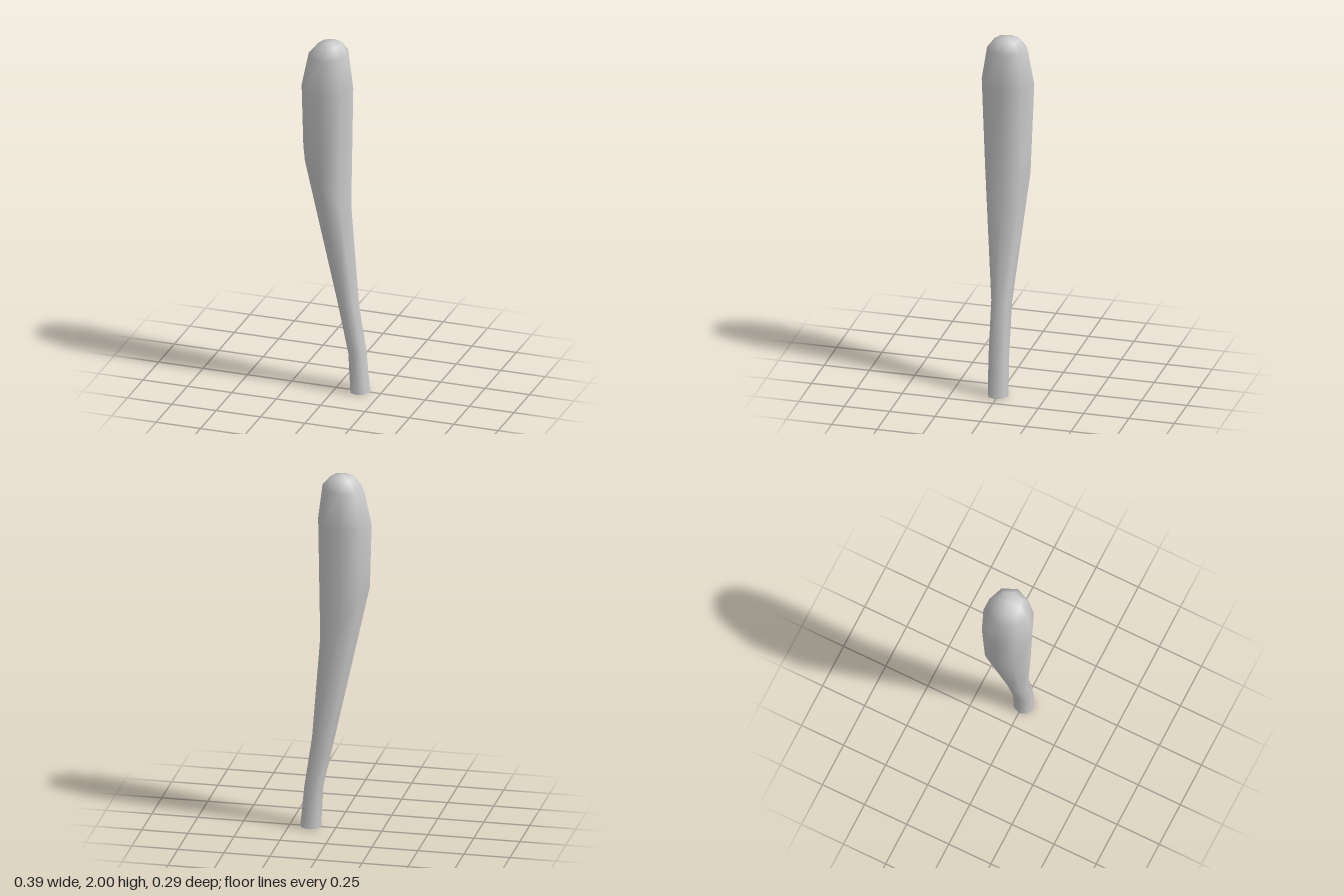
import * as THREE from 'three';

const SIDES = 8;

// Cross-sections: [left x, left y, right x, right y, half depth, centre z]
const RINGS = [
  [0.08, 0, 0.193, 0, 0.057, 0.003],
  [0.068, 0.23, 0.172, 0.22, 0.057, 0.003],
  [0.002, 0.53, 0.13, 0.5, 0.057, 0.003],
  [-0.185, 1.38, 0.085, 1.07, 0.125, 0.001],
  [-0.195, 1.73, 0.096, 1.75, 0.145, 0],
  [-0.155, 1.92, 0.072, 1.94, 0.113, 0],
  [-0.1, 1.988, 0.03, 1.99, 0.07, 0],
];

// Loft eight-sided rings, closed by a single point at the top
function loft(rings, tip) {
  const positions = [], index = [];
  for (const [lx, ly, rx, ry, depth, z] of rings) {
    for (let i = 0; i < SIDES; i++) {
      const a = (i / SIDES) * Math.PI * 2, c = Math.cos(a);
      positions.push(
        (lx + rx) / 2 + (c * (rx - lx)) / 2,
        (ly + ry) / 2 + (c * (ry - ly)) / 2,
        z + Math.sin(a) * depth
      );
    }
  }
  positions.push(...tip);
  const tipIndex = rings.length * SIDES;
  for (let r = 0; r < rings.length; r++) {
    for (let i = 0; i < SIDES; i++) {
      const a = r * SIDES + i, b = r * SIDES + ((i + 1) % SIDES);
      if (r === rings.length - 1) index.push(a, tipIndex, b);
      else index.push(a, a + SIDES, b, b, a + SIDES, b + SIDES);
    }
  }
  const geometry = new THREE.BufferGeometry();
  geometry.setAttribute('position', new THREE.Float32BufferAttribute(positions, 3));
  geometry.setIndex(index);
  geometry.computeVertexNormals();
  return geometry;
}

export function createModel() {
  const group = new THREE.Group();
  group.name = 'club';
  const material = new THREE.MeshStandardMaterial({ color: 0xcccccc });

  // Bent handle swelling into a rounded head
  const body = new THREE.Mesh(loft(RINGS, [-0.035, 2, 0]), material);
  body.name = 'clubBody';
  group.add(body);

  // Flat end of the handle
  const cap = new THREE.Mesh(new THREE.CircleGeometry(0.057, SIDES).rotateX(Math.PI / 2), material);
  cap.name = 'handleEnd';
  cap.position.set(0.1365, 0, 0.003);
  group.add(cap);

  return group;
}
